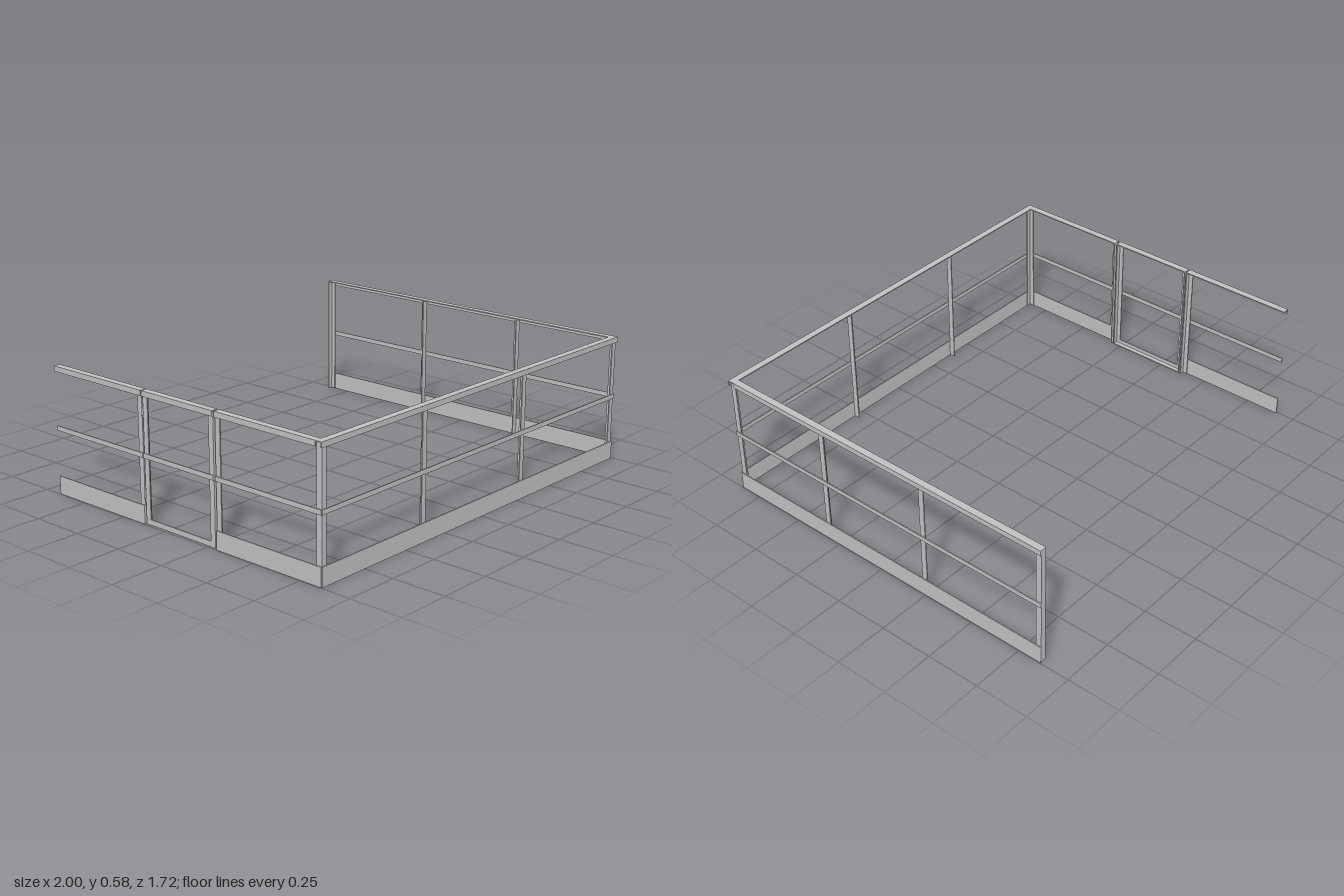
import * as THREE from 'three';

const TOP = 0.578, T = 0.005, LEG = 0.026;

export function createModel() {
  const model = new THREE.Group();
  model.name = 'guardRailing';
  const steel = new THREE.MeshStandardMaterial({ color: 0xc0c0c0 });
  steel.name = 'greySteel';

  // L-section bar: legs a and b, pushed along the third axis of the basis X, Y, X x Y
  const angle = (parent, name, a, b, length, X, Y, pos) => {
    const s = new THREE.Shape();
    [[0, 0], [a, 0], [a, T], [T, T], [T, b], [0, b]].forEach(([x, y], i) => i ? s.lineTo(x, y) : s.moveTo(x, y));
    s.closePath();
    const geo = new THREE.ExtrudeGeometry(s, { depth: length, bevelEnabled: false });
    const x = new THREE.Vector3(...X), y = new THREE.Vector3(...Y);
    geo.applyMatrix4(new THREE.Matrix4().makeBasis(x, y, x.clone().cross(y)));
    const mesh = new THREE.Mesh(geo, steel);
    mesh.name = name;
    mesh.position.set(...pos);
    parent.add(mesh);
  };

  // In each side group, x runs along the fence and +z points outward
  const side = (name, out, turn) => {
    const g = new THREE.Group();
    g.name = name;
    g.rotation.y = turn;
    model.add(g);
    const plane = out - 0.007;
    const flat = (part, u0, u1, y0, y1) => {
      const m = new THREE.Mesh(new THREE.BoxGeometry(u1 - u0, y1 - y0, T), steel);
      m.name = part;
      m.position.set((u0 + u1) / 2, (y0 + y1) / 2, plane + T / 2);
      g.add(m);
    };
    return {
      group: g,
      topRail: (u0, u1) => angle(g, 'topRail', 0.032, 0.024, u1 - u0, [0, 0, -1], [0, -1, 0], [u1, TOP, out]),
      bottomRail: (u0, u1) => angle(g, 'gateBottomRail', LEG, 0.024, u1 - u0, [0, 0, -1], [0, 1, 0], [u0, 0.003, plane]),
      midRail: (u0, u1) => flat('midRail', u0, u1, 0.29, 0.311),
      kickBoard: (u0, u1) => flat('kickBoard', u0, u1, 0, 0.083),
      // heel of the angle at u, outer leg running in direction d
      post: (u, d, part = 'post') => angle(g, part, LEG, LEG, TOP - T - 0.002, [d, 0, 0], [0, 0, -1],
        [u, d > 0 ? 0.002 : TOP - T, plane]),
    };
  };

  // Front run with both corner posts
  const front = side('frontRailing', 0.862, 0);
  front.topRail(-1, 1);
  front.midRail(-0.995, 0.995);
  front.kickBoard(-0.995, 0.995);
  [[-0.992, 1], [-0.373, -1], [0.297, -1], [0.992, -1]].forEach(([u, d]) => front.post(u, d));

  // Long run on +x
  const long = side('longSideRailing', 1, Math.PI / 2);
  long.topRail(-0.83, 0.862);
  long.midRail(-0.855, 0.862);
  long.kickBoard(-0.855, 0.862);
  [[-0.326, 1], [0.232, 1], [0.86, -1]].forEach(([u, d]) => long.post(u, d));

  // Run on -x, broken by a gate
  const short = side('gateSideRailing', 1, -Math.PI / 2);
  short.topRail(0.3, 0.83);
  short.topRail(-0.662, -0.12);
  for (const part of ['midRail', 'kickBoard']) {
    short[part](0.3, 0.855);
    short[part](-0.662, -0.12);
  }
  short.post(0.3, 1, 'gatePost');
  short.post(-0.12, -1, 'gatePost');

  // Gate leaf: two stiles and three rails
  const gate = side('gate', 1, -Math.PI / 2);
  gate.topRail(-0.115, 0.289);
  gate.midRail(-0.115, 0.289);
  gate.bottomRail(-0.113, 0.289);
  gate.post(-0.114, 1, 'gateStile');
  gate.post(0.289, -1, 'gateStile');

  // Hinges
  for (const y of [0.135, 0.49]) {
    const hinge = new THREE.Mesh(new THREE.CylinderGeometry(0.005, 0.005, 0.034, 12), steel);
    hinge.name = 'hinge';
    hinge.position.set(-0.117, y, 0.995);
    gate.group.add(hinge);
  }
  return model;
}
